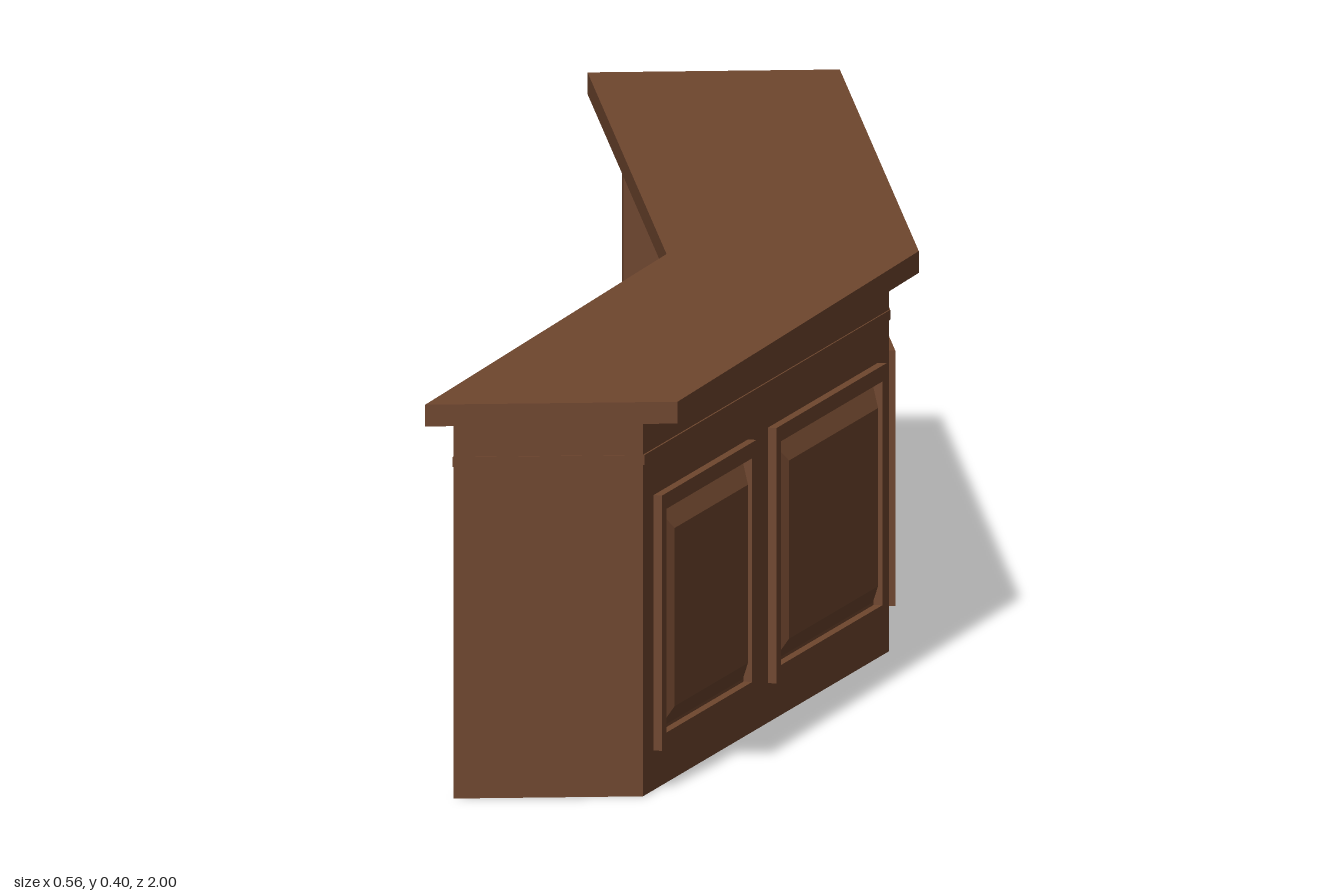
import * as THREE from 'three';

export function createModel() {
  const model = new THREE.Group();
  const wood = new THREE.MeshStandardMaterial({ color: 0x6f462e });
  wood.name = 'brown wood';

  const add = (name, geometry, parent = model) => {
    const mesh = new THREE.Mesh(geometry, wood);
    mesh.name = name;
    parent.add(mesh);
    return mesh;
  };

  // Horizontal slab from a footprint of [x, z] corners
  const slab = (name, corners, y0, y1) => {
    const shape = new THREE.Shape(corners.map(([x, z]) => new THREE.Vector2(x, -z)));
    const geo = new THREE.ExtrudeGeometry(shape, { depth: y1 - y0, bevelEnabled: false });
    geo.rotateX(-Math.PI / 2).translate(0, y0, 0);
    return add(name, geo);
  };

  const box = (name, x0, x1, y0, y1, z0, z1) =>
    add(name, new THREE.BoxGeometry(x1 - x0, y1 - y0, z1 - z0))
      .position.set((x0 + x1) / 2, (y0 + y1) / 2, (z0 + z1) / 2);

  // Footprint lines of the cabinet
  const IN = 0.057, OUT = 0.247, BACK = -0.965, BEND = 0.105, FRONT = 0.965;
  const END_IN = -0.249, END_OUT = -0.06;
  const footprint = (e) => [
    [IN - e, BACK - e], [OUT + e, BACK - e], [OUT + e, BEND],
    [END_OUT + e, FRONT + e], [END_IN - e, FRONT + e], [IN - e, BEND],
  ];

  // Counter top, upper rail and thin trim
  slab('counterTop', [[0.025, -1], [0.277, -1], [0.277, 0.105], [-0.028, 1], [-0.28, 1], [0.025, 0.105]], 0.382, 0.404);
  slab('upperRail', footprint(0), 0.345, 0.382);
  slab('trim', footprint(0.0015), 0.335, 0.345);

  // Closed angled cabinet
  slab('angledCabinet', [[IN, BEND], [OUT, BEND], [END_OUT, FRONT], [END_IN, FRONT]], 0, 0.335);

  // Straight cabinet, open on its inner side
  const T = 0.02, MID = -0.43, H = 0.335, BASE = 0.028;
  box('bottomBoard', IN, OUT, 0, BASE, BACK, BEND);
  box('outerWall', OUT - T, OUT, BASE, H, BACK, BEND);
  box('endWall', IN, OUT - T, BASE, H, BACK, BACK + T);
  box('divider', IN, OUT - T, BASE, H, MID - 0.02, MID + 0.02);
  box('bendWall', IN, OUT - T, BASE, H, BEND - T, BEND);
  for (const [z0, z1] of [[BACK + T, MID - 0.02], [MID + 0.02, BEND - T]])
    box('shelf', IN + 0.006, OUT - T, 0.182, 0.202, z0, z1);

  // Raised panel: a frame around a field with sloping edges
  const rect = (path, w, h) => path.moveTo(-w / 2, -h / 2).lineTo(w / 2, -h / 2)
    .lineTo(w / 2, h / 2).lineTo(-w / 2, h / 2).closePath();
  const raisedPanel = (x, z, width, angle) => {
    const height = 0.258, rim = 0.016, depth = 0.011, slope = 0.02;
    const panel = new THREE.Group();
    panel.name = 'raisedPanel';
    const shape = rect(new THREE.Shape(), width, height);
    shape.holes.push(rect(new THREE.Path(), width - 2 * rim, height - 2 * rim));
    add('panelFrame', new THREE.ExtrudeGeometry(shape, { depth: 0.009, bevelEnabled: false }), panel);

    const field = new THREE.BoxGeometry(width - 2 * rim - 0.006, height - 2 * rim - 0.006, depth);
    const p = field.attributes.position;
    for (let i = 0; i < p.count; i++) {
      if (p.getZ(i) > 0) {
        p.setX(i, p.getX(i) - Math.sign(p.getX(i)) * slope);
        p.setY(i, p.getY(i) - Math.sign(p.getY(i)) * slope);
      }
    }
    field.computeVertexNormals();
    add('panelField', field, panel).position.z = depth / 2;

    panel.position.set(x, 0.169, z);
    panel.rotation.y = angle;
    model.add(panel);
  };

  // Two panels on the straight wall
  for (const [z0, z1] of [[-0.925, -0.47], [-0.4, 0.07]])
    raisedPanel(OUT, (z0 + z1) / 2, z1 - z0, Math.PI / 2);

  // Two panels on the angled wall
  const run = FRONT - BEND, shift = OUT - END_OUT;
  for (const [z0, z1] of [[0.143, 0.528], [0.598, 0.928]]) {
    const z = (z0 + z1) / 2;
    raisedPanel(OUT - shift * (z - BEND) / run, z,
      (z1 - z0) * Math.hypot(run, shift) / run, Math.atan2(run, shift));
  }

  return model;
}
